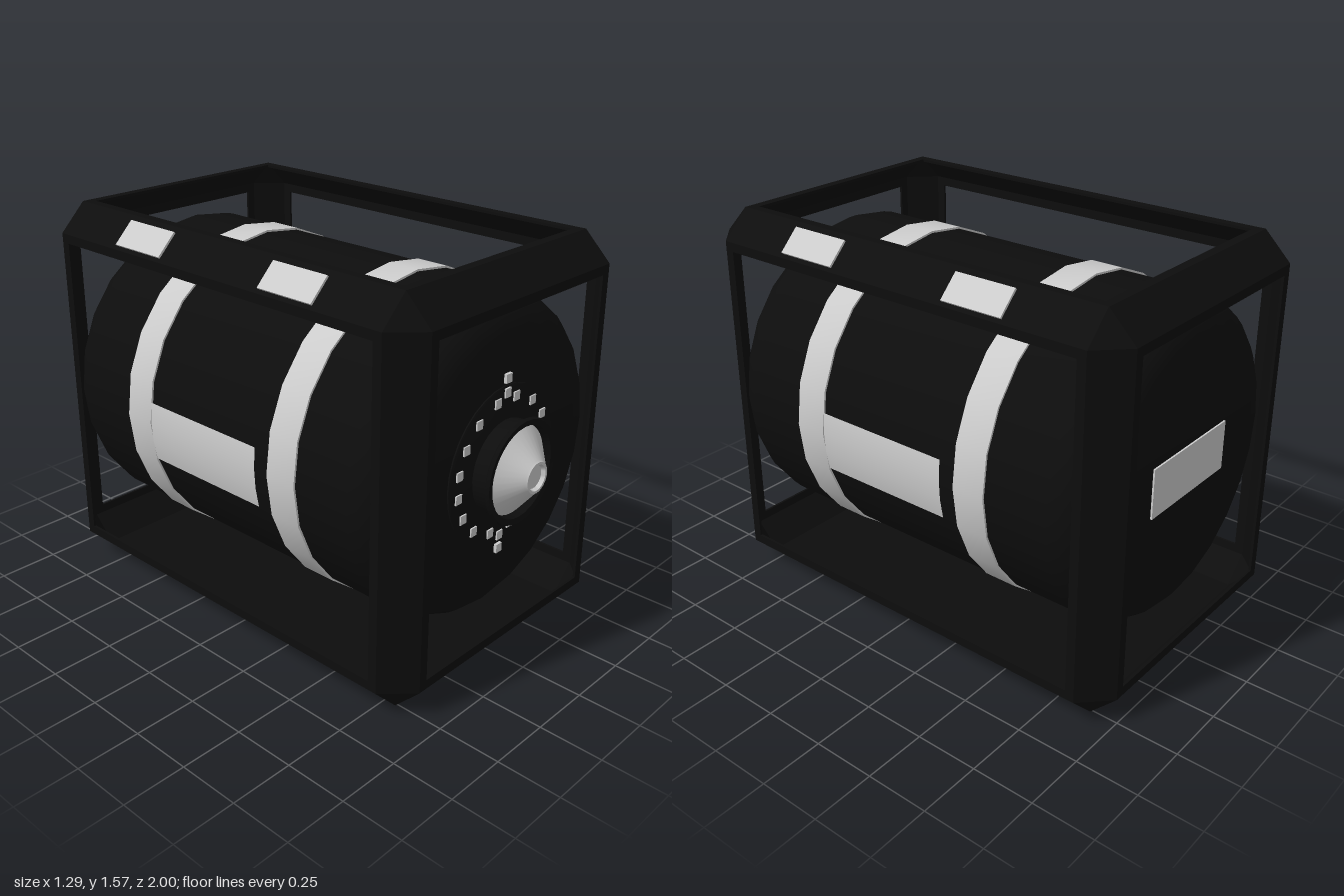
import * as THREE from 'three';
import { toCreasedNormals } from 'three/addons/utils/BufferGeometryUtils.js';
import { ConvexGeometry } from 'three/addons/geometries/ConvexGeometry.js';

const CY = 0.803;          // barrel axis height
const CZ = -0.045;         // middle of frame and barrel along z
const HALF = [0.62, 0.785, 0.955]; // frame half sizes
const CHAMFER = 0.11, RIM = 0.147, WALL = 0.01;

export function createModel() {
  const model = new THREE.Group();
  const dark = new THREE.MeshStandardMaterial({ color: 0x0d0d0d, side: THREE.DoubleSide });
  const light = new THREE.MeshStandardMaterial({ color: 0xcccccc, side: THREE.DoubleSide });

  const add = (parent, name, geometry, material, x = 0, y = 0, z = 0) => {
    const mesh = new THREE.Mesh(geometry, material);
    mesh.name = name;
    mesh.position.set(x, y, z);
    parent.add(mesh);
    return mesh;
  };
  // Turned part around the z axis; points are [radius, z]
  const turned = (points, sides) => {
    const g = new THREE.LatheGeometry(points.map(p => new THREE.Vector2(...p)), sides);
    g.rotateX(Math.PI / 2);
    return toCreasedNormals(g, 0.6);
  };

  // ---- Protective frame: thin chamfered shell with open sides and top ----
  const frame = new THREE.Group();
  frame.name = 'frame';
  frame.position.set(0, HALF[1], CZ);
  model.add(frame);

  const rect = (T, u, v) => new T([[-u, -v], [u, -v], [u, v], [-u, v]].map(p => new THREE.Vector2(...p)));
  const panel = (name, uAxis, vAxis, outAxis, turn, open) => {
    const [hu, hv] = [HALF[uAxis], HALF[vAxis]];
    const shape = rect(THREE.Shape, hu - CHAMFER, hv - CHAMFER);
    if (open) shape.holes.push(rect(THREE.Path, hu - RIM, hv - RIM));
    const g = new THREE.ExtrudeGeometry(shape, { depth: WALL, bevelEnabled: false });
    g.translate(0, 0, HALF[outAxis] - WALL);
    turn(g);
    add(frame, name, g, dark);
  };
  panel('frontPanel', 0, 1, 2, () => {}, true);
  panel('backPanel', 0, 1, 2, g => g.rotateY(Math.PI), true);
  panel('leftPanel', 2, 1, 0, g => g.rotateY(Math.PI / 2), true);
  panel('rightPanel', 2, 1, 0, g => g.rotateY(-Math.PI / 2), true);
  panel('topPanel', 0, 2, 1, g => g.rotateX(-Math.PI / 2), true);
  panel('basePlate', 0, 2, 1, g => g.rotateX(Math.PI / 2), false);

  // Chamfer strips along the twelve edges
  for (let a = 0; a < 3; a++) {
    const b = (a + 1) % 3, d = (a + 2) % 3;
    for (const sb of [-1, 1]) for (const sd of [-1, 1]) {
      const points = [];
      for (const e of [-1, 1]) for (const w of [0, WALL]) for (const [ib, id] of [[w, CHAMFER], [CHAMFER, w]]) {
        const p = [0, 0, 0];
        p[a] = e * (HALF[a] - CHAMFER);
        p[b] = sb * (HALF[b] - ib);
        p[d] = sd * (HALF[d] - id);
        points.push(new THREE.Vector3(...p));
      }
      add(frame, 'edgeChamfer', new ConvexGeometry(points), dark);
    }
  }
  // Corner facets
  for (const sx of [-1, 1]) for (const sy of [-1, 1]) for (const sz of [-1, 1]) {
    const points = [];
    for (const w of [0, WALL]) for (let a = 0; a < 3; a++) {
      const p = [sx, sy, sz].map((s, i) => s * (HALF[i] - (i === a ? w : CHAMFER)));
      points.push(new THREE.Vector3(...p));
    }
    add(frame, 'cornerFacet', new ConvexGeometry(points), dark);
  }

  // Light plates on the upper chamfers
  for (const s of [-1, 1]) for (const z of [0.36, -0.42]) {
    const plate = add(model, 'edgePlate', new THREE.BoxGeometry(0.113, 0.012, 0.255), light, s * 0.57, 1.514, z);
    plate.rotation.z = -s * Math.PI / 4;
  }

  // ---- Barrel with rounded ends ----
  const barrel = new THREE.Group();
  barrel.name = 'barrel';
  barrel.position.set(0, CY, 0);
  model.add(barrel);
  const R = 0.638, ROUND = 0.17, END = 0.885;
  const half = [];
  for (let i = 0; i <= 6; i++) {
    const t = (i / 6) * Math.PI / 2;
    half.push([R - ROUND + ROUND * Math.cos(t), END - ROUND + ROUND * Math.sin(t)]);
  }
  half.push([0, END]);
  const profile = [...half.map(([r, z]) => [r, CZ - z]).reverse(), ...half.map(([r, z]) => [r, CZ + z])];
  add(barrel, 'barrelBody', turned(profile, 24), dark);

  // Bands around the barrel
  for (const z of [0.36, -0.43]) {
    const w = 0.068;
    add(barrel, 'band', turned([[R, z - w], [R + 0.008, z - w], [R + 0.008, z + w], [R, z + w]], 24), light);
  }

  // Curved side labels, one the half-turn copy of the other
  for (const turn of [0, Math.PI]) {
    const holder = new THREE.Group();
    holder.name = 'sideLabel';
    holder.position.z = -0.035;
    holder.rotation.y = turn;
    const g = new THREE.CylinderGeometry(0.645, 0.645, 0.585, 3, 1, true, Math.PI / 2 - 0.135, 0.38);
    g.rotateX(-Math.PI / 2);
    add(holder, 'labelSheet', g, light, 0, 0, 0.03);
    barrel.add(holder);
  }
  add(barrel, 'backLabel', new THREE.BoxGeometry(0.49, 0.2, 0.01), light, 0, 0, CZ - END - 0.002);

  // ---- Front dial: base disc, cup, cone and tick marks ----
  const dial = new THREE.Group();
  dial.name = 'dial';
  barrel.add(dial);
  add(dial, 'dialBase', turned([[0.31, 0.83], [0.31, 0.845], [0.3, 0.85], [0, 0.85]], 32), dark);
  add(dial, 'dialCup', turned([[0.18, 0.84], [0.185, 0.91], [0.205, 0.925], [0.2, 0.938], [0.178, 0.935], [0.172, 0.9]], 32), dark);
  add(dial, 'dialCone', turned([[0.177, 0.9], [0.065, 0.993], [0.06, 1], [0.05, 1], [0.045, 0.985], [0, 0.985]], 32), light);

  const tick = (x, y) => add(dial, 'tick', new THREE.BoxGeometry(0.033, 0.035, 0.012), light, x, y, 0.85);
  for (const s of [-1, 1]) {
    for (const deg of [12, 37, 59, 79.5, 99, 120, 142, 167]) {
      const t = THREE.MathUtils.degToRad(deg);
      tick(s * 0.263 * Math.sin(t), 0.263 * Math.cos(t));
    }
    tick(0, s * 0.285);
    tick(0, s * 0.34);
  }
  return model;
}
